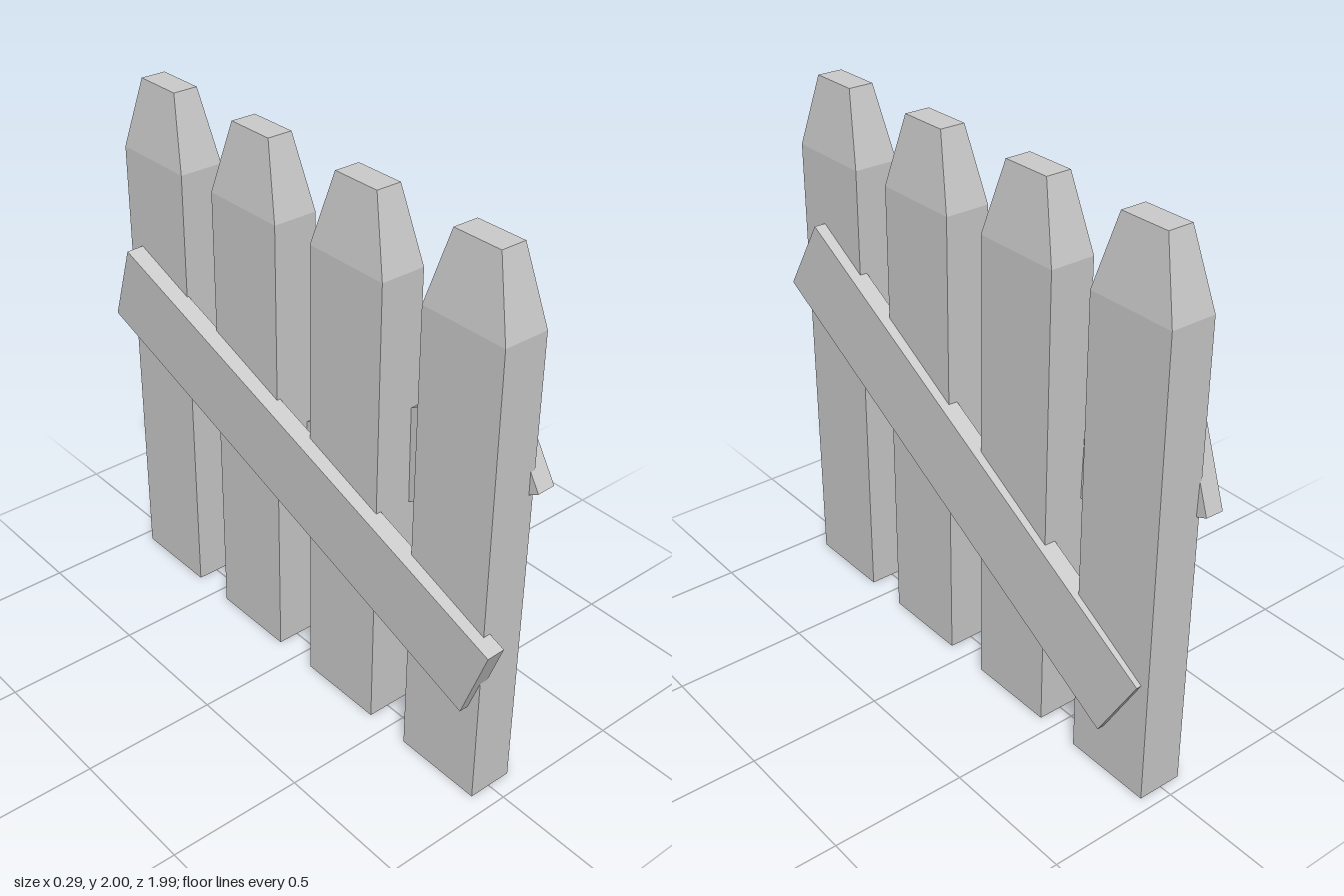
import * as THREE from 'three';

const material = new THREE.MeshStandardMaterial({ color: 0xcccccc, flatShading: true });

// Upright plank whose top tapers to a small flat rectangle
function makePicket(z) {
  const height = 2, shoulder = 1.735;
  const geometry = new THREE.BoxGeometry(0.17, height, 0.34, 1, 2, 1).toNonIndexed();
  const p = geometry.attributes.position;
  for (let i = 0; i < p.count; i++) {
    const y = p.getY(i);
    if (y > 0.5) p.setXYZ(i, p.getX(i) * 0.56, height, p.getZ(i) * 0.56);
    else p.setY(i, y < -0.5 ? 0 : shoulder);
  }
  geometry.computeVertexNormals();
  const picket = new THREE.Mesh(geometry, material);
  picket.position.set(0.005, 0, z);
  return picket;
}

// Diagonal board, sloped by an angle and leaning slightly out of the fence plane
function makeBrace(x, y, z, degrees) {
  const angle = THREE.MathUtils.degToRad(degrees);
  const along = new THREE.Vector3(0.0125, Math.sin(angle), Math.cos(angle)).normalize();
  const across = new THREE.Vector3(-0.025, Math.cos(angle), -Math.sin(angle)).normalize();
  const out = new THREE.Vector3().crossVectors(across, along).normalize();
  across.crossVectors(along, out);
  const brace = new THREE.Mesh(new THREE.BoxGeometry(0.07, 0.32, 2), material);
  brace.quaternion.setFromRotationMatrix(new THREE.Matrix4().makeBasis(out, across, along));
  brace.position.set(x, y, z);
  return brace;
}

export function createModel() {
  const fence = new THREE.Group();
  fence.name = 'fence';

  // Four evenly spaced pickets
  [0.76, 0.247, -0.27, -0.782].forEach((z, i) => {
    const picket = makePicket(z);
    picket.name = `picket${i + 1}`;
    fence.add(picket);
  });

  // One crooked brace nailed to each side
  const leftBrace = makeBrace(0.0915, 0.826, 0.023, 30.4);
  leftBrace.name = 'leftBrace';
  const rightBrace = makeBrace(-0.0955, 0.87, 0, -20.4);
  rightBrace.name = 'rightBrace';
  fence.add(leftBrace, rightBrace);

  return fence;
}
